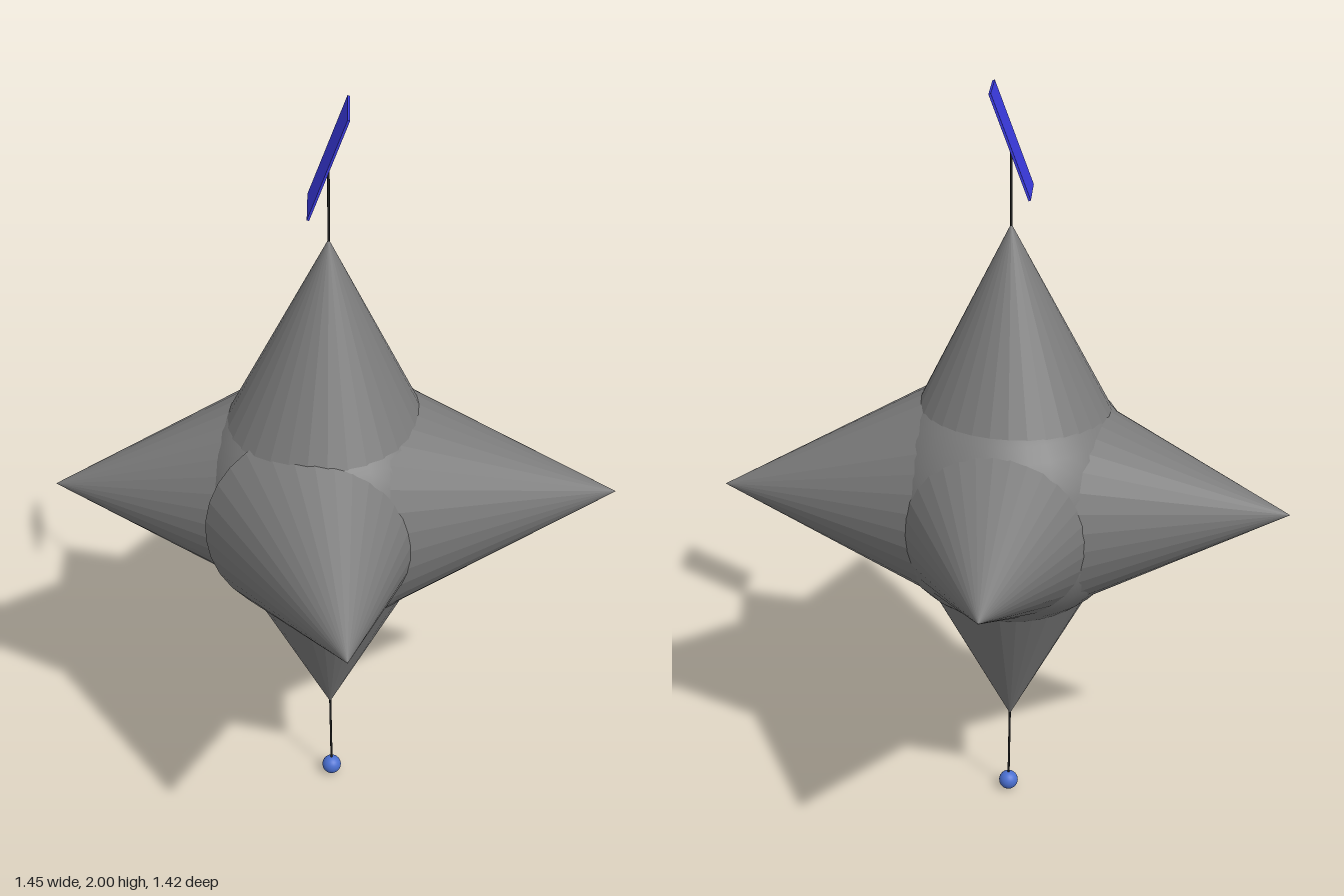
import * as THREE from 'three';

const paper = new THREE.MeshStandardMaterial({ color: 0x7a7a7a, flatShading: true });
const smoothPaper = new THREE.MeshStandardMaterial({ color: 0x7a7a7a });
const thread = new THREE.MeshStandardMaterial({ color: 0x222222 });
const tagBlue = new THREE.MeshStandardMaterial({ color: 0x3a3ade });
const beadBlue = new THREE.MeshStandardMaterial({ color: 0x4a6fd0 });
const UP = new THREE.Vector3(0, 1, 0);

function add(group, name, geometry, material) {
  const mesh = new THREE.Mesh(geometry, material);
  mesh.name = name;
  group.add(mesh);
  return mesh;
}

// Places a y-aligned geometry so that it runs from point a to point b
function span(mesh, a, b) {
  mesh.position.copy(a).lerp(b, 0.5);
  mesh.quaternion.setFromUnitVectors(UP, b.clone().sub(a).normalize());
}

export function createModel() {
  const model = new THREE.Group();
  model.name = 'hangingStar';

  // Round core that fills the gaps between the spikes
  const core = add(model, 'core', new THREE.SphereGeometry(0.341, 32, 24), smoothPaper);
  core.position.set(-0.018, 0.943, -0.01);

  // Six slightly uneven cones: root inside the core, then tip
  const spikes = {
    topSpike: [[-0.022, 1.09, -0.002], [-0.016, 1.664, 0]],
    bottomSpike: [[-0.017, 0.79, -0.002], [-0.014, 0.25, 0.002]],
    leftSpike: [[0.13, 0.943, 0], [0.725, 0.938, 0]],
    rightSpike: [[-0.165, 0.942, -0.04], [-0.728, 0.924, -0.075]],
    frontSpike: [[-0.042, 0.938, 0.14], [0.02, 0.939, 0.709]],
    backSpike: [[0, 0.938, -0.165], [0.024, 0.965, -0.714]],
  };
  const slope = 0.503;
  for (const [name, points] of Object.entries(spikes)) {
    const [root, tip] = points.map((p) => new THREE.Vector3(...p));
    const height = root.distanceTo(tip);
    const cone = new THREE.ConeGeometry(height * slope, height, 32, 1, true);
    span(add(model, name, cone, paper), root, tip);
  }

  // Strings above and below
  const strings = {
    topString: [[-0.016, 1.64, 0], [-0.016, 1.873, 0]],
    bottomString: [[-0.014, 0.27, 0.002], [-0.01, 0.03, 0.007]],
  };
  for (const [name, points] of Object.entries(strings)) {
    const [a, b] = points.map((p) => new THREE.Vector3(...p));
    span(add(model, name, new THREE.CylinderGeometry(0.003, 0.003, a.distanceTo(b), 8), thread), a, b);
  }

  // Bead at the lower end
  const bead = add(model, 'bead', new THREE.SphereGeometry(0.026, 24, 16), beadBlue);
  bead.position.set(-0.01, 0.027, 0.007);

  // Tilted paper tag at the upper end
  const tag = add(model, 'tag', new THREE.BoxGeometry(0.006, 0.272, 0.135), tagBlue);
  const along = new THREE.Vector3(0.095, 0.255, 0.011).normalize();
  const normal = along.clone().cross(new THREE.Vector3(0, 0, 1)).normalize();
  const across = normal.clone().cross(along);
  tag.quaternion.setFromRotationMatrix(new THREE.Matrix4().makeBasis(normal, along, across));
  tag.position.set(-0.0165, 1.872, 0);

  return model;
}
